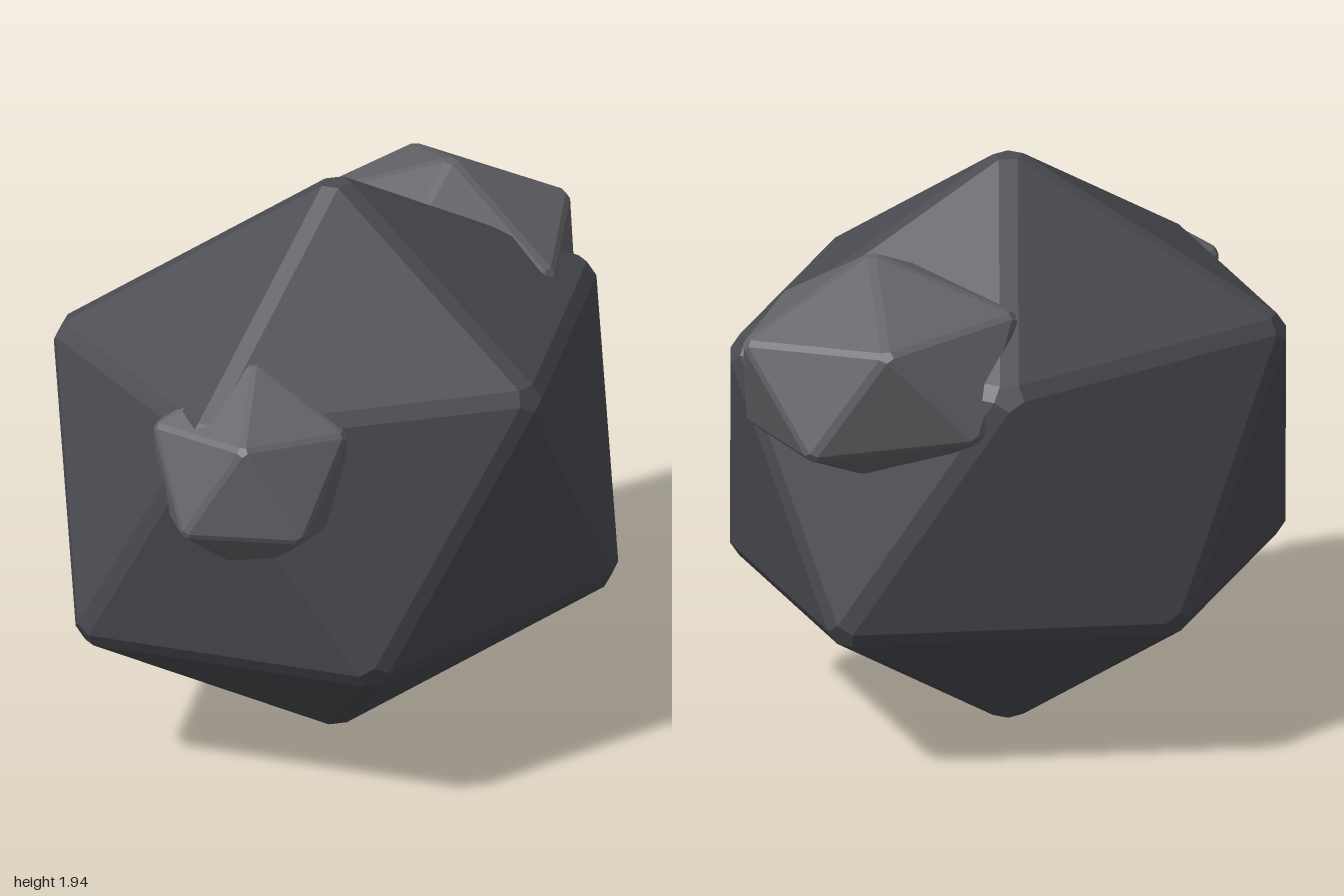
import * as THREE from 'three';
import { ConvexGeometry } from 'three/addons/geometries/ConvexGeometry.js';

// Bevelled icosahedron standing on a corner; rx, ry, rz are its sharp radii.
function bevelledRock(rx, ry, rz, spin = 0, bevel = 0.1) {
  const ring = (y, offset) => Array.from({ length: 5 }, (_, i) => {
    const a = (i * 2 * Math.PI) / 5 + offset + spin;
    return new THREE.Vector3(Math.cos(a) * rx, y * ry, -Math.sin(a) * rz);
  });
  const top = new THREE.Vector3(0, ry, 0);
  const bottom = new THREE.Vector3(0, -ry, 0);
  const upper = ring(0.447, 0);
  const lower = ring(-0.447, Math.PI / 5);
  const points = [];
  // Pull each face's corners toward its centre, then wrap a hull around them.
  const addFace = (...corners) => {
    const centre = new THREE.Vector3();
    corners.forEach((c) => centre.addScaledVector(c, 1 / 3));
    corners.forEach((c) => points.push(c.clone().lerp(centre, bevel)));
  };
  for (let i = 0; i < 5; i++) {
    const j = (i + 1) % 5;
    addFace(top, upper[i], upper[j]);
    addFace(upper[i], upper[j], lower[i]);
    addFace(lower[i], lower[j], upper[j]);
    addFace(bottom, lower[i], lower[j]);
  }
  return new ConvexGeometry(points);
}

export function createModel() {
  const group = new THREE.Group();
  const stone = new THREE.MeshStandardMaterial({ color: 0x4b4c52, flatShading: true });
  const paleStone = new THREE.MeshStandardMaterial({ color: 0x656469, flatShading: true });

  const add = (name, geometry, material, position, rotation = [0, 0, 0]) => {
    const mesh = new THREE.Mesh(geometry, material);
    mesh.name = name;
    mesh.position.set(...position);
    mesh.rotation.set(...rotation);
    group.add(mesh);
  };

  // Main boulder
  add('boulder', bevelledRock(0.983, 1.009, 0.825), stone, [-0.03, 0.972, 0]);

  // Large lump on the upper back left
  add('largeLump', bevelledRock(0.475, 0.395, 0.485), paleStone,
    [0.53, 1.39, -0.3], [0.1, 0, -0.06]);

  // Small lump on the front right
  add('smallLump', bevelledRock(0.335, 0.365, 0.335, Math.PI / 2), paleStone,
    [-0.58, 1.22, 0.41], [-0.1, 0, -0.08]);

  return group;
}
